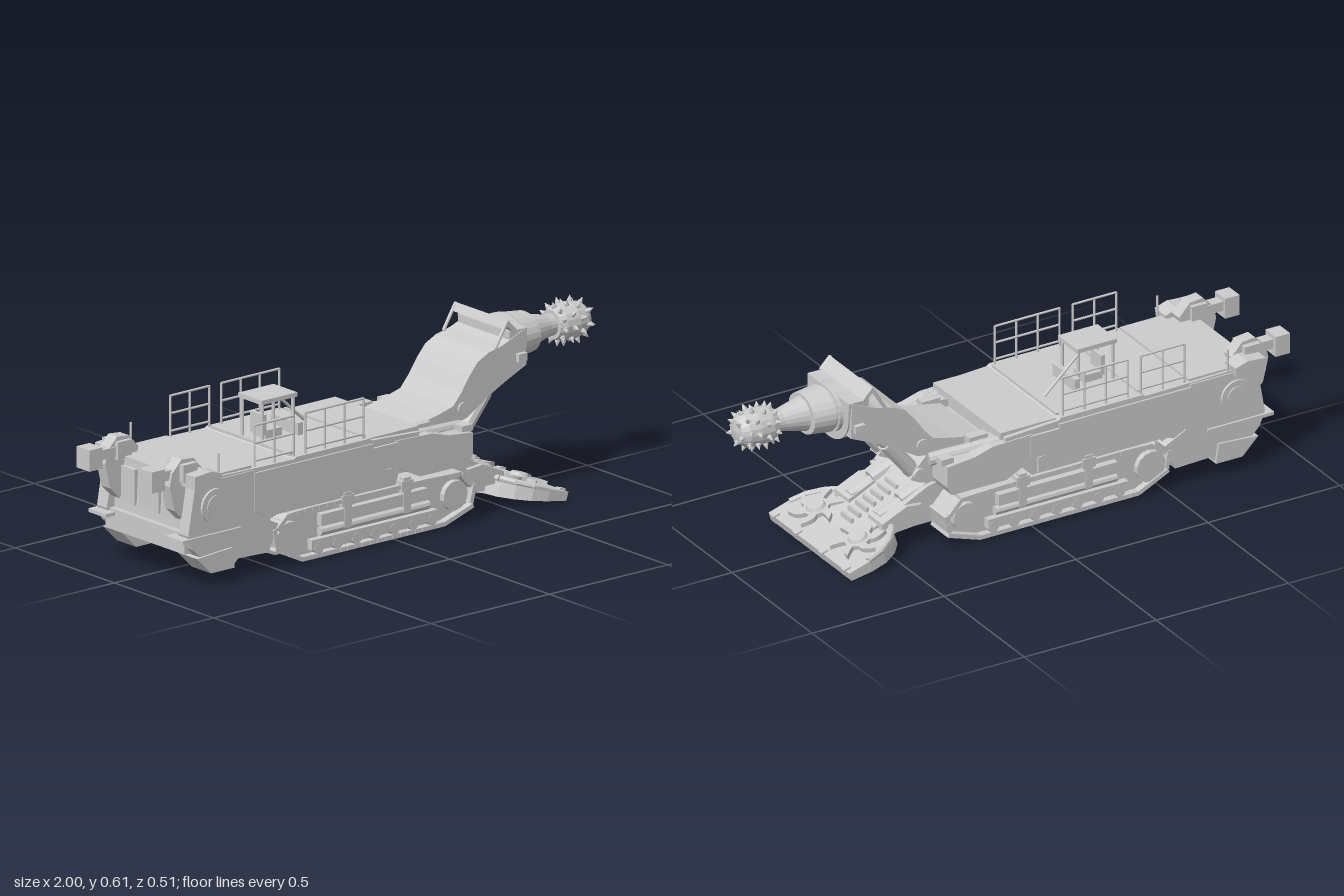
import * as THREE from 'three';

const grey = new THREE.MeshStandardMaterial({ color: 0xcccccc, flatShading: true, side: THREE.DoubleSide });
const V = (x, y, z) => new THREE.Vector3(x, y, z);

export function createModel() {
  const root = new THREE.Group();
  root.name = 'tunnellingMachine';

  const add = (name, geo, parent = root) => {
    const m = new THREE.Mesh(geo, grey);
    m.name = name;
    parent.add(m);
    return m;
  };
  // box given by its limits
  const box = (name, x0, x1, y0, y1, z0, z1, parent) =>
    add(name, new THREE.BoxGeometry(x1 - x0, y1 - y0, Math.abs(z1 - z0))
      .translate((x0 + x1) / 2, (y0 + y1) / 2, (z0 + z1) / 2), parent);
  // side profile extruded across z
  const slab = (name, pts, z0, z1, parent) => {
    const s = new THREE.Shape(pts.map(p => new THREE.Vector2(p[0], p[1])));
    return add(name, new THREE.ExtrudeGeometry(s, { depth: Math.abs(z1 - z0), bevelEnabled: false })
      .translate(0, 0, Math.min(z0, z1)), parent);
  };
  // round bar between two points
  const bar = (name, a, b, r, r2 = r, parent = root, n = 10) => {
    const d = b.clone().sub(a);
    const m = add(name, new THREE.CylinderGeometry(r2, r, d.length(), n), parent);
    m.position.copy(a).addScaledVector(d, 0.5);
    m.quaternion.setFromUnitVectors(V(0, 1, 0), d.normalize());
    return m;
  };
  // disc facing sideways
  const disc = (name, x, y, z, r, w, n = 20, parent = root) => bar(name, V(x, y, z - w / 2), V(x, y, z + w / 2), r, r, parent, n);

  // Hull and upper body
  box('hull', -0.53, 0.28, 0.06, 0.25, -0.13, 0.13);
  slab('bellyPlate', [[-0.56, 0.07], [-0.43, 0.015], [0.22, 0.015], [0.3, 0.045], [0.3, 0.08], [-0.56, 0.08]], -0.13, 0.13);
  slab('body', [[-0.84, 0.2], [-0.6, 0.16], [-0.5, 0.19], [0.0, 0.19], [0.02, 0.25], [0.1, 0.25],
    [0.1, 0.35], [-0.1, 0.36], [-0.11, 0.368], [-0.42, 0.368], [-0.43, 0.362], [-0.84, 0.368]], -0.225, 0.225);
  slab('rearBody', [[-0.85, 0.16], [-0.76, 0.07], [-0.53, 0.07], [-0.5, 0.2], [-0.6, 0.355], [-0.84, 0.355]], -0.2, 0.2);
  box('hood', -0.1, 0.11, 0.34, 0.364, -0.21, 0.21);
  box('deckRear', -0.85, -0.6, 0.36, 0.373, -0.215, 0.215);
  for (const x of [-0.42, -0.112]) box('deckSeam', x - 0.005, x + 0.005, 0.36, 0.375, -0.2, 0.2);
  box('turntable', 0.08, 0.3, 0.18, 0.31, -0.13, 0.13);
  box('rearBumper', -0.87, -0.83, 0.12, 0.19, -0.2, 0.2);
  for (let i = 0; i < 3; i++) box('rearPanel', -0.855, -0.83, 0.22, 0.34, -0.17 + i * 0.12, -0.07 + i * 0.12);

  for (const s of [1, -1]) {
    const side = new THREE.Group();
    side.name = s > 0 ? 'frontSide' : 'backSide';
    root.add(side);
    const sbox = (n, x0, x1, y0, y1, z0, z1) => box(n, x0, x1, y0, y1, s * z0, s * z1, side);
    const sslab = (n, p, z0, z1) => slab(n, p, s * z0, s * z1, side);
    const sbar = (n, a, b, r, r2) => bar(n, V(a[0], a[1], a[2] * s), V(b[0], b[1], b[2] * s), r, r2, side);
    const sdisc = (n, x, y, z, r, w, k) => disc(n, x, y, z * s, r, w, k, side);

    // Body flanks
    sslab('sidePlate', [[-0.6, 0.22], [-0.56, 0.195], [-0.02, 0.195], [-0.02, 0.25], [-0.1, 0.26], [-0.1, 0.35], [-0.6, 0.35]], 0.22, 0.232);
    sbox('sideLocker', -0.1, 0.01, 0.255, 0.335, 0.2, 0.234);
    sslab('turretCheek', [[0, 0.25], [0.1, 0.2], [0.305, 0.2], [0.322, 0.23], [0.322, 0.305], [0.22, 0.315], [0.15, 0.335], [0, 0.34]], 0.135, 0.23);
    sbox('cheekCap', 0.13, 0.2, 0.31, 0.35, 0.13, 0.165);
    sbox('workLamp', 0.29, 0.335, 0.305, 0.327, 0.175, 0.215);
    sbar('swingCylinder', [0.1, 0.325, 0.19], [0.34, 0.3, 0.14], 0.022);
    sslab('frontBracket', [[0.26, 0.2], [0.36, 0.215], [0.4, 0.235], [0.385, 0.265], [0.34, 0.31], [0.26, 0.31]], 0.072, 0.128);
    sdisc('bracketPin', 0.37, 0.25, 0.1, 0.022, 0.08);

    // Rear flank, stabiliser and lamp
    sslab('rearFlank', [[-0.88, 0.19], [-0.86, 0.14], [-0.78, 0.06], [-0.69, 0.055], [-0.67, 0.075], [-0.54, 0.07],
      [-0.5, 0.16], [-0.58, 0.2], [-0.6, 0.36], [-0.85, 0.36]], 0.18, 0.23);
    sbox('stepPlate', -0.91, -0.66, 0.17, 0.182, 0.15, 0.238);
    sslab('stabiliserFoot', [[-0.85, 0.11], [-0.79, 0.05], [-0.69, 0.05], [-0.7, 0.12]], 0.14, 0.238);
    sdisc('reelRim', -0.77, 0.275, 0.23, 0.058, 0.018, 24);
    sdisc('reelHub', -0.77, 0.275, 0.23, 0.038, 0.026, 16);
    sslab('lampBracket', [[-0.92, 0.355], [-0.9, 0.27], [-0.86, 0.23], [-0.8, 0.33], [-0.78, 0.39],
      [-0.82, 0.435], [-0.87, 0.44], [-0.91, 0.4]], 0.14, 0.185);
    sslab('lampWing', [[-0.87, 0.35], [-0.76, 0.35], [-0.755, 0.385], [-0.8, 0.4], [-0.87, 0.395]], 0.185, 0.252);
    sbox('lampBlock', -0.88, -0.82, 0.365, 0.425, 0.125, 0.205);
    sbox('lampArm', -0.95, -0.86, 0.375, 0.408, 0.135, 0.175);
    sbox('lamp', -1.0, -0.945, 0.35, 0.422, 0.125, 0.19);
    sbar('aerial', [-0.745, 0.36, 0.22], [-0.745, 0.445, 0.22], 0.004);

    // Crawler track: belt loop with shoes laid along the outline
    const loop = [[-0.4, 0.019], [0.2, 0.019], [0.31, 0.055], [0.325, 0.115], [0.27, 0.175], [0.1, 0.18], [-0.36, 0.182],
      [-0.46, 0.178], [-0.515, 0.13], [-0.505, 0.07]];
    sslab('trackCore', loop, 0.125, 0.21);
    const belt = new THREE.CurvePath();
    loop.forEach((p, i) => {
      const q = loop[(i + 1) % loop.length];
      belt.add(new THREE.LineCurve(new THREE.Vector2(...p), new THREE.Vector2(...q)));
    });
    const shoes = 58;
    for (let i = 0; i < shoes; i++) {
      const p = belt.getPointAt((i + 0.5) / shoes), t = belt.getTangentAt((i + 0.5) / shoes);
      const shoe = add('trackShoe', new THREE.BoxGeometry(0.031, 0.015, 0.11), side);
      shoe.position.set(p.x, p.y, s * 0.18);
      shoe.rotation.z = Math.atan2(t.y, t.x);
    }
    sdisc('sprocket', -0.45, 0.1, 0.215, 0.055, 0.03, 14);
    sdisc('idler', 0.25, 0.105, 0.215, 0.05, 0.03, 14);
    sbox('trackBeam', -0.36, 0.17, 0.04, 0.075, 0.2, 0.234);
    sbox('trackGuard', -0.32, 0.13, 0.115, 0.155, 0.2, 0.234);
    for (let i = 0; i < 7; i++) sdisc('roller', -0.33 + i * 0.08, 0.045, 0.22, 0.02, 0.03, 10);
    sbar('trackCylinder', [-0.32, 0.095, 0.22], [0.14, 0.095, 0.22], 0.016);
    for (const x of [-0.21, 0.04]) {
      sbox('hanger', x - 0.015, x + 0.015, 0.09, 0.21, 0.215, 0.237);
      sbox('hangerHead', x - 0.025, x + 0.025, 0.165, 0.2, 0.2, 0.239);
    }

    // Handrails in two panels
    for (const [a, b, n] of [[-0.585, -0.42, 2], [-0.37, -0.125, 3]]) {
      for (let i = 0; i <= n; i++) {
        const x = a + (b - a) * i / n;
        sbar('railPost', [x, 0.35, 0.212], [x, 0.505, 0.212], 0.004);
      }
      for (const y of [0.385, 0.445, 0.505]) sbar('railBar', [a, y, 0.212], [b, y, 0.212], 0.004);
    }

    // Boom and loading-apron cylinders
    sbar('boomCylinder', [0.375, 0.25, 0.1], [0.48, 0.38, 0.1], 0.027);
    sbar('boomRod', [0.46, 0.355, 0.1], [0.55, 0.45, 0.1], 0.018);
    sbar('apronCylinder', [0.27, 0.21, 0.09], [0.42, 0.15, 0.09], 0.028);
    sbar('apronRod', [0.4, 0.155, 0.09], [0.5, 0.115, 0.09], 0.016);
    sslab('apronArm', [[0.25, 0.22], [0.34, 0.2], [0.5, 0.12], [0.5, 0.08], [0.36, 0.09], [0.25, 0.12]], 0.11, 0.135);
    sslab('gatheringDrive', [[0.37, 0.15], [0.43, 0.155], [0.52, 0.115], [0.52, 0.08], [0.4, 0.08]], 0.06, 0.15);
    sbox('boomBoss', 0.585, 0.62, 0.47, 0.497, 0.13, 0.15);
    sdisc('boomPin', 0.36, 0.355, 0.13, 0.022, 0.02, 12);
  }

  // Operator station with a canopy
  box('canopy', -0.41, -0.26, 0.497, 0.512, -0.08, 0.04);
  for (const x of [-0.4, -0.27]) for (const z of [-0.07, 0.03]) bar('canopyPost', V(x, 0.36, z), V(x, 0.5, z), 0.006);
  box('seat', -0.37, -0.3, 0.365, 0.395, -0.055, 0.01);
  box('seatBack', -0.38, -0.365, 0.38, 0.45, -0.055, 0.01);
  box('console', -0.265, -0.245, 0.36, 0.41, -0.09, 0.05);
  bar('canopyBrace', V(-0.27, 0.49, -0.07), V(-0.14, 0.37, -0.07), 0.005);

  // Boom: one curved beam, ending in a shield with a round underside
  slab('boom', [[0.13, 0.33], [0.25, 0.352], [0.32, 0.37], [0.355, 0.41], [0.39, 0.46], [0.425, 0.5], [0.47, 0.522], [0.53, 0.535],
    [0.58, 0.555], [0.625, 0.575], [0.63, 0.45], [0.54, 0.41], [0.46, 0.37], [0.38, 0.32], [0.3, 0.305], [0.14, 0.3]], -0.133, 0.133);
  const shield = new THREE.Shape();
  shield.moveTo(-0.13, 0.575);
  shield.lineTo(-0.13, 0.51);
  shield.absellipse(0, 0.51, 0.125, 0.105, Math.PI, Math.PI * 2, false);
  shield.lineTo(0.13, 0.575);
  add('boomShield', new THREE.ExtrudeGeometry(shield, { depth: 0.075, bevelEnabled: false, curveSegments: 16 })
    .rotateY(Math.PI / 2).translate(0.56, 0, 0));
  const frame = [[0.5, 0.53], [0.55, 0.612], [0.585, 0.575]];
  for (const z of [-0.13, 0.13]) for (let i = 0; i < 2; i++) bar('frameSide', V(...frame[i], z), V(...frame[i + 1], z), 0.006);
  slab('framePlate', [[0.535, 0.59], [0.55, 0.617], [0.586, 0.58], [0.575, 0.57], [0.55, 0.595]], -0.135, 0.135);

  // Telescopic collar and cone, turned around x
  const turned = (name, pts, n) => {
    const m = add(name, new THREE.LatheGeometry(pts.map(p => new THREE.Vector2(p[1], p[0])), n).rotateZ(-Math.PI / 2));
    m.position.y = 0.512;
    return m;
  };
  turned('collar', [[0.6, 0], [0.6, 0.08], [0.65, 0.08], [0.65, 0.073], [0.66, 0.073], [0.66, 0.077], [0.735, 0.068],
    [0.735, 0.05], [0.735, 0]], 24).scale.z = 1.22;
  turned('cone', [[0.73, 0.06], [0.76, 0.052], [0.82, 0.038], [0.87, 0.036]], 20);

  // Cutting head with rings of picks
  turned('cuttingHead', [[0.845, 0], [0.845, 0.05], [0.87, 0.061], [0.92, 0.064], [0.96, 0.057], [0.983, 0.04], [0.99, 0]], 18);
  [[0.86, 0.054, -0.35, 11], [0.895, 0.061, -0.05, 9], [0.93, 0.061, 0.2, 9], [0.958, 0.053, 0.5, 8], [0.98, 0.035, 0.9, 5]]
    .forEach(([x, r, lean, n], k) => {
      for (let i = 0; i < n; i++) {
        const a = (i + k * 0.4) / n * Math.PI * 2;
        const dir = V(Math.sin(lean), Math.cos(lean) * Math.cos(a), Math.cos(lean) * Math.sin(a));
        const base = V(x, 0.512 + r * Math.cos(a), r * Math.sin(a)).addScaledVector(dir, -0.006);
        const mid = base.clone().addScaledVector(dir, 0.014);
        bar('pickHolder', base, mid, 0.01, 0.008, root, 6);
        bar('pick', mid, mid.clone().addScaledVector(dir, 0.013), 0.007, 0.001, root, 6);
      }
    });

  // Conveyor throat
  slab('conveyor', [[0.2, 0.26], [0.3, 0.24], [0.38, 0.17], [0.5, 0.11], [0.6, 0.065], [0.5, 0.05], [0.38, 0.06], [0.2, 0.06]], -0.12, 0.12);
  for (let i = 0; i < 7; i++) box('flight', 0.39 + i * 0.028, 0.4 + i * 0.028, 0.15 - i * 0.013, 0.175 - i * 0.013, -0.035, 0.035);

  // Sloping loading apron, thicker towards the back, with gathering stars
  const apron = new THREE.Group();
  apron.name = 'loadingApron';
  apron.position.set(0.708, 0.032, 0);
  apron.rotation.z = -0.3;
  root.add(apron);
  const flat = (name, shape, h) => add(name, new THREE.ExtrudeGeometry(shape, { depth: h, bevelEnabled: false }).rotateX(Math.PI / 2), apron);
  const half = [[0, 0.252], [-0.08, 0.252], [-0.14, 0.24], [-0.19, 0.21], [-0.225, 0.17], [-0.24, 0.12], [-0.26, 0.105], [-0.33, 0.1]];
  const outline = [...half, ...half.map(([x, z]) => [x, -z]).reverse()];
  const plate = flat('apronPlate', new THREE.Shape(outline.map(p => new THREE.Vector2(...p))), 0.03).geometry.attributes.position;
  for (let i = 0; i < plate.count; i++) if (plate.getY(i) < -0.01) plate.setY(i, -0.03 + plate.getX(i) * 0.13);
  for (const z of [-0.22, -0.08, 0.08, 0.22]) box('lipTooth', -0.02, 0.006, -0.02, 0.006, z - 0.01, z + 0.01, apron);
  for (const s of [1, -1]) {
    for (let i = 1; i < 5; i++) bar('apronRim', V(half[i][0], 0, s * (half[i][1] - 0.008)),
      V(half[i + 1][0], 0, s * (half[i + 1][1] - 0.008)), 0.011, 0.011, apron, 8);
    const star = new THREE.Shape();
    for (let i = 0; i < 6; i++) {
      const at = (r, d) => [r * Math.cos((i + d) * Math.PI / 3), s * r * Math.sin((i + d) * Math.PI / 3)];
      i ? star.lineTo(...at(0.045, 0)) : star.moveTo(...at(0.045, 0));
      star.quadraticCurveTo(...at(0.075, 0.1), ...at(0.095, 0.6));
      star.quadraticCurveTo(...at(0.065, 0.55), ...at(0.045, 0.6));
    }
    flat('gatheringStar', star, 0.016).position.set(-0.115, 0.016, s * 0.13);
    const hub = add('starHub', new THREE.CylinderGeometry(0.028, 0.045, 0.028, 16), apron);
    hub.position.set(-0.115, 0.012, s * 0.13);
    box('apronRidge', -0.3, -0.22, 0, 0.03, s * 0.065, s * 0.11, apron);
  }
  return root;
}
